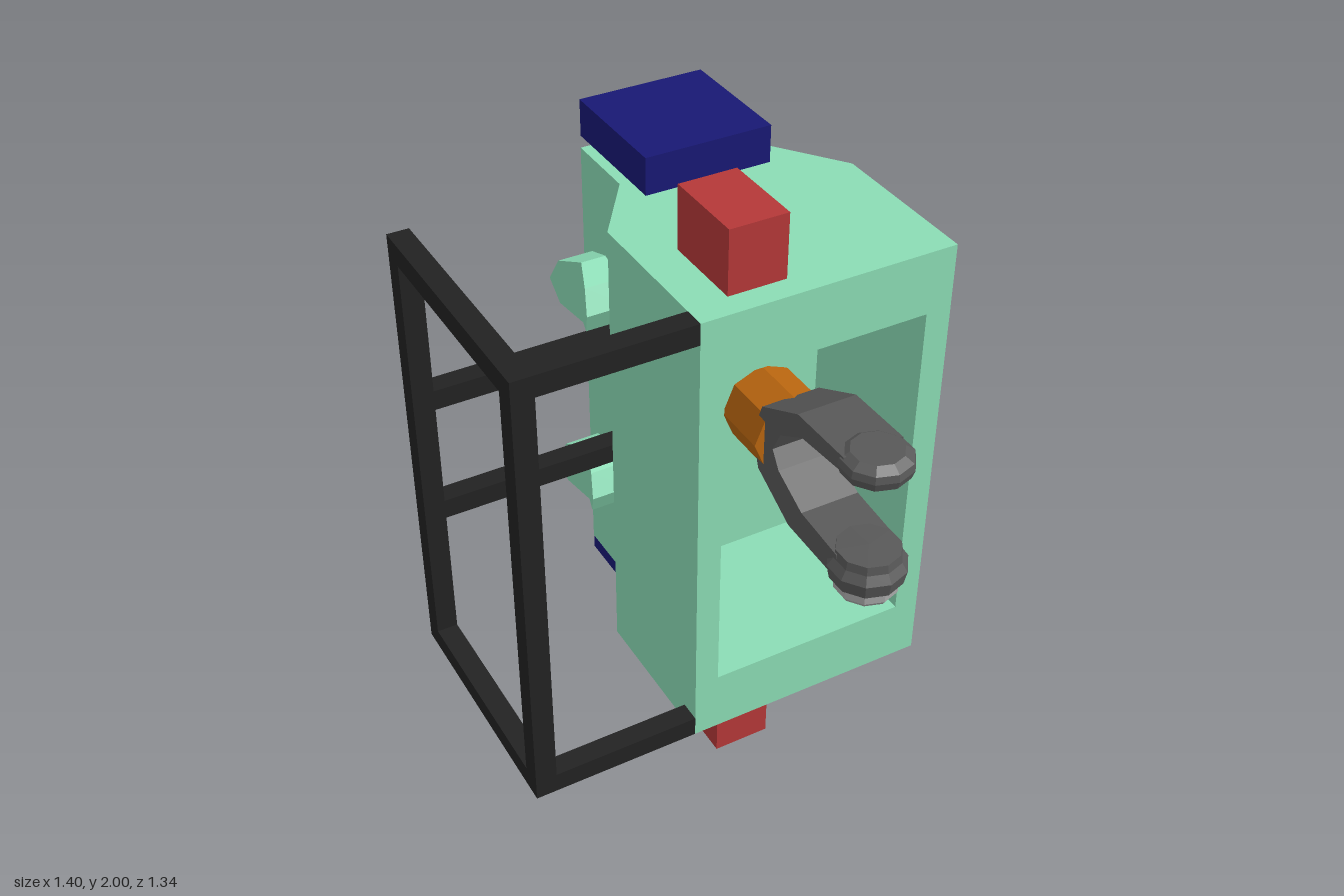
import * as THREE from 'three';

const mat = (color) => new THREE.MeshStandardMaterial({ color, flatShading: true });

export function createModel() {
  const group = new THREE.Group();
  const green = mat(0x8bdcb5), black = mat(0x222222), red = mat(0xb43838);
  const blue = mat(0x181874), grey = mat(0x585858), pale = mat(0xa8a8a8), orange = mat(0xb8650f);

  const add = (name, geometry, material) => {
    const mesh = new THREE.Mesh(geometry, material);
    mesh.name = name;
    group.add(mesh);
    return mesh;
  };
  // Box given by its lower and upper limits on each axis
  const box = (name, material, x0, x1, y0, y1, z0, z1) =>
    add(name, new THREE.BoxGeometry(x1 - x0, y1 - y0, z1 - z0), material)
      .position.set((x0 + x1) / 2, (y0 + y1) / 2, (z0 + z1) / 2);
  const polygon = (pts) => new THREE.Shape(pts.map(([x, y]) => new THREE.Vector2(x, y)));
  const extrude = (shape, depth) => new THREE.ExtrudeGeometry(shape, { depth, bevelEnabled: false });

  // Front half of the cabinet, open to the front
  const y0 = 0.215, y1 = 1.79;
  const frontShape = polygon([[-0.14, y0], [0.7, y0], [0.7, y1], [-0.14, y1]]);
  frontShape.holes.push(polygon([[-0.06, 0.43], [-0.06, 1.58], [0.615, 1.58], [0.615, 0.43]]));
  add('cabinetFront', extrude(frontShape, 0.54).translate(0, 0, -0.11), green);

  // Tapered rear of the cabinet: plan outline as (x, -z), raised along y
  const plan = polygon([[-0.14, 0.11], [0.7, 0.11], [0.53, 0.34], [0.53, 0.6], [0.02, 0.6], [0.02, 0.34]]);
  add('cabinetRear', extrude(plan, y1 - y0).rotateX(-Math.PI / 2).translate(0, y0, 0), green);

  // Red posts and blue plates above and below
  for (const [a, b, c, d] of [[1.79, 2, 1.79, 1.915], [0, y0, 0.095, y0]]) {
    box('redPost', red, -0.01, 0.18, a, b, 0.07, 0.35);
    box('bluePlate', blue, 0.055, 0.485, c, d, -0.67, -0.24);
  }

  // Side frame: two posts, top and bottom rails, and rungs to the rear
  const t = 0.07;
  for (const z of [-0.405, 0.36]) box('framePost', black, -0.7, -0.63, y0, y1, z, z + t);
  for (const y of [y0, y1 - t]) {
    box('frameSideRail', black, -0.7, -0.63, y, y + t, -0.335, 0.36);
    box('frameFrontRail', black, -0.63, -0.14, y, y + t, 0.36, 0.43);
  }
  for (const y of [0.755, 1.185]) box('frameRung', black, -0.63, 0.02, y, y + t, -0.405, -0.335);

  // Notched sockets on the rear side wall, their ends pulled out towards the rim
  for (const y of [0.64, 1.37]) {
    const g = new THREE.CylinderGeometry(0.132, 0.132, 0.1, 8).rotateZ(Math.PI / 2).toNonIndexed();
    const p = g.attributes.position;
    for (let i = 0; i < p.count; i++) {
      p.setX(i, p.getX(i) < 0 ? -0.065 - 0.38 * Math.abs(p.getZ(i)) : 0.03);
      p.setY(i, p.getY(i) * 0.85);
    }
    g.computeVertexNormals();
    add('socket', g, green).position.set(0, y, -0.448);
  }

  // C-shaped arm inside the opening: side outline as (z, y), extruded across x
  const arm = polygon([
    [0.52, 1.235], [0.27, 1.23], [0.07, 1.13], [0.02, 1], [0.06, 0.88], [0.25, 0.78], [0.52, 0.77],
    [0.52, 0.86], [0.32, 0.88], [0.18, 0.95], [0.14, 1.01], [0.18, 1.09], [0.3, 1.16], [0.52, 1.18],
  ]);
  add('clampArm', extrude(arm, 0.21).rotateY(-Math.PI / 2).translate(0.505, 0, 0), grey);

  // Orange mount between the arm and the inner wall
  add('armMount', new THREE.CylinderGeometry(0.14, 0.14, 0.2, 8).rotateX(Math.PI / 2), orange)
    .position.set(0.4, 1, -0.01);

  // Rounded heads at both ends of the arm
  const head = (name, material, z, pts) =>
    add(name, new THREE.LatheGeometry(pts.map(([r, y]) => new THREE.Vector2(r, y)), 10), material)
      .position.set(0.4, 0, z);
  head('upperHead', grey, 0.54, [[0, 1.17], [0.11, 1.17], [0.12, 1.2], [0.115, 1.225], [0.085, 1.245], [0, 1.245]]);
  head('lowerHead', grey, 0.54, [[0, 0.76], [0.12, 0.76], [0.13, 0.81], [0.11, 0.84], [0.105, 0.87], [0, 0.875]]);
  head('lowerPad', pale, 0.54, [[0, 0.705], [0.095, 0.705], [0.105, 0.72], [0.105, 0.765], [0, 0.765]]);

  return group;
}
